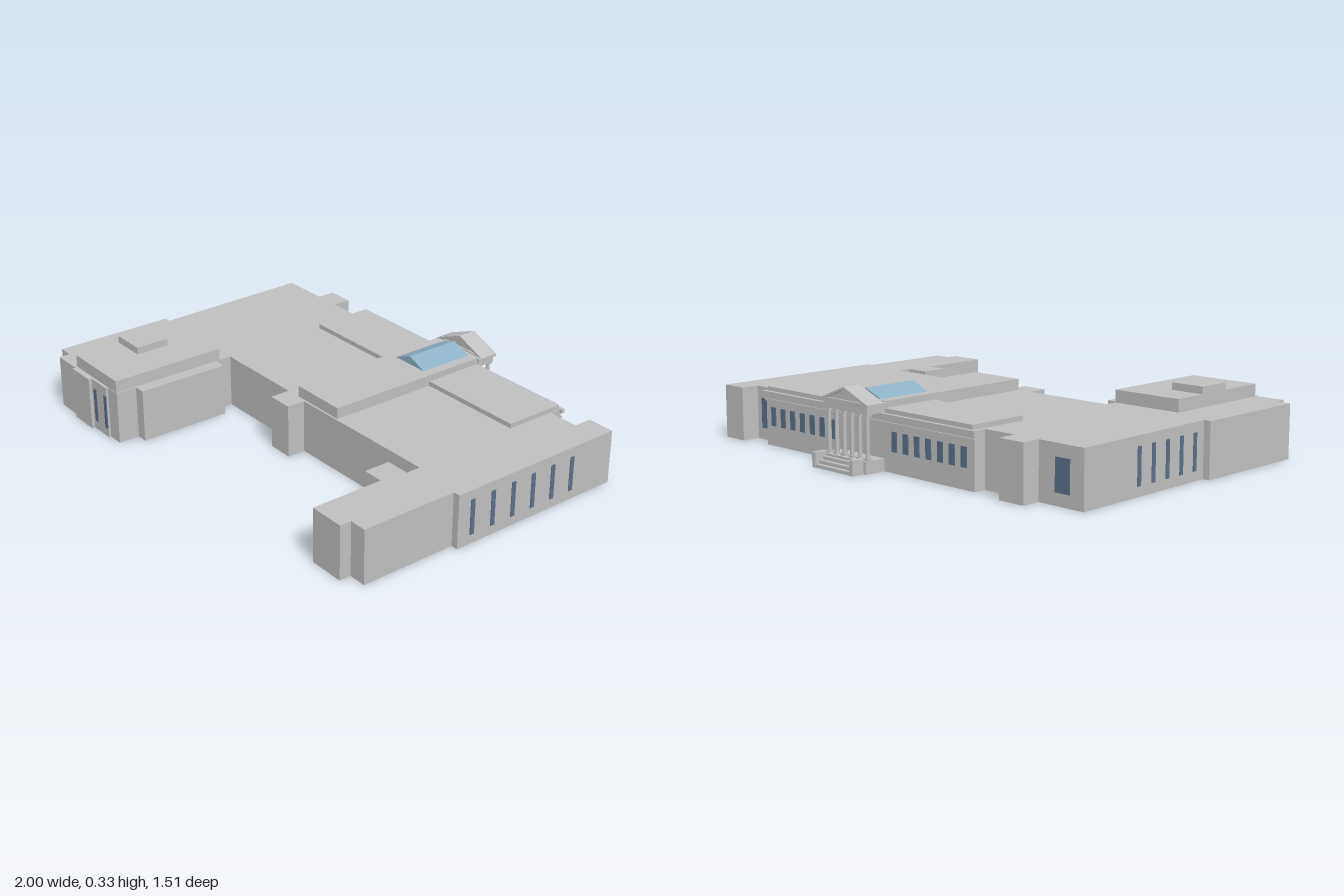
import * as THREE from 'three';
import { mergeGeometries } from 'three/addons/utils/BufferGeometryUtils.js';

export function createModel() {
  const model = new THREE.Group();
  model.name = 'building';
  const mat = (name, color) => {
    const m = new THREE.MeshStandardMaterial({ color, side: THREE.DoubleSide });
    m.name = name;
    return m;
  };
  const stone = mat('pale grey stone', 0xc0c0c0);
  const pane = mat('dark blue window', 0x5a7088);
  const glass = mat('skylight glass', 0x8fb2c6);

  const add = (name, geometry, material = stone, parent = model) => {
    const mesh = new THREE.Mesh(geometry, material);
    mesh.name = name;
    parent.add(mesh);
    return mesh;
  };
  const group = (name) => {
    const g = new THREE.Group();
    g.name = name;
    model.add(g);
    return g;
  };
  // Box given by its limits on each axis
  const box = (name, x0, x1, y0, y1, z0, z1, material, parent) => {
    const g = new THREE.BoxGeometry(x1 - x0, y1 - y0, z1 - z0);
    g.translate((x0 + x1) / 2, (y0 + y1) / 2, (z0 + z1) / 2);
    return add(name, g, material, parent);
  };
  // Walls and flat roof over an outline of (x, z) points, open underneath
  const shell = (name, outline, y0, y1) => {
    const pos = [];
    outline.forEach(([ax, az], i) => {
      const [bx, bz] = outline[(i + 1) % outline.length];
      pos.push(ax, y0, az, ax, y1, az, bx, y1, bz, ax, y0, az, bx, y1, bz, bx, y0, bz);
    });
    const walls = new THREE.BufferGeometry();
    walls.setAttribute('position', new THREE.Float32BufferAttribute(pos, 3));
    walls.computeVertexNormals();
    const shape = new THREE.Shape(outline.map(([x, z]) => new THREE.Vector2(x, -z)));
    const roof = new THREE.ShapeGeometry(shape).toNonIndexed();
    roof.deleteAttribute('uv');
    roof.rotateX(-Math.PI / 2).translate(0, y1, 0);
    return add(name, mergeGeometries([walls, roof]));
  };
  const rect = (x0, x1, z0, z1) => [[x0, z0], [x1, z0], [x1, z1], [x0, z1]];
  // Triangular prism along z
  const triangle = (Type, x0, x1, y0, y1) => {
    const t = new Type();
    t.moveTo(x0, y0);
    t.lineTo(x1, y0);
    t.lineTo((x0 + x1) / 2, y1);
    t.closePath();
    return t;
  };
  const prism = (shape, z0, z1) =>
    new THREE.ExtrudeGeometry(shape, { depth: z1 - z0, bevelEnabled: false }).translate(0, 0, z0);

  // Main body with its wings and projecting bays
  shell('mainBody', [
    [-0.985, -0.55], [-0.77, -0.55], [-0.77, -0.63], [-0.65, -0.63], [-0.65, -0.55],
    [-0.5, -0.55], [-0.5, -0.605], [0.745, -0.605], [0.745, -0.55], [0.88, -0.55],
    [0.88, -0.63], [1, -0.63], [1, 0.18], [0.97, 0.18], [0.97, 0.6], [0.895, 0.6],
    [0.895, 0.65], [0.74, 0.65], [0.74, 0.335], [0.65, 0.335], [0.65, 0.22],
    [0.755, 0.22], [0.755, 0.157], [0.05, 0.165], [0.05, 0.245], [-0.065, 0.245],
    [-0.065, 0.157], [-0.485, 0.157], [-0.485, 0.23], [-0.43, 0.23], [-0.43, 0.635],
    [-0.48, 0.635], [-0.48, 0.728], [-0.55, 0.728], [-0.55, 0.738], [-0.665, 0.738],
    [-0.665, 0.752], [-0.8, 0.752], [-0.8, 0.738], [-0.935, 0.738], [-0.935, 0.69],
    [-1, 0.69], [-1, 0.157], [-0.97, 0.157],
  ], 0, 0.23);

  // Raised roofs; the central ones stand on inner walls reaching the ground
  shell('centralHall', rect(0, 0.258, -0.6, 0.155), 0, 0.278);
  shell('sideHalls', rect(-0.485, 0.74, -0.6, -0.33), 0, 0.25);
  shell('wingUpperStorey', rect(-0.805, -0.485, 0.212, 0.726), 0.23, 0.283);
  shell('wingRoofBox', rect(-0.805, -0.652, 0.365, 0.517), 0.283, 0.314);

  // Cornice along the colonnaded facade
  box('corniceLower', -0.505, 0.75, 0.19, 0.2, -0.611, -0.6);
  box('corniceUpper', -0.51, 0.755, 0.215, 0.232, -0.617, -0.6);

  // Glazed ridge skylight
  add('skylight', prism(triangle(THREE.Shape, 0.04, 0.216, 0.279, 0.315), -0.585, -0.335), glass);

  // Portico: floor, columns, beam and pediment
  const portico = group('portico');
  box('porticoFloor', 0.0, 0.258, 0, 0.052, -0.7, -0.6, stone, portico);
  const columnCount = 6;
  for (let i = 0; i < columnCount; i++) {
    const x = 0.013 + (i * 0.231) / (columnCount - 1);
    const shaft = add('columnShaft', new THREE.CylinderGeometry(0.008, 0.0095, 0.165, 12), stone, portico);
    shaft.position.set(x, 0.1425, -0.677);
    box('columnBase', x - 0.012, x + 0.012, 0.052, 0.06, -0.689, -0.665, stone, portico);
    box('columnCapital', x - 0.012, x + 0.012, 0.225, 0.236, -0.689, -0.665, stone, portico);
  }
  box('beam', -0.002, 0.26, 0.235, 0.262, -0.692, -0.6, stone, portico);
  box('beamMoulding', -0.012, 0.268, 0.262, 0.274, -0.7, -0.6, stone, portico);
  const gable = triangle(THREE.Shape, -0.012, 0.268, 0.274, 0.331);
  gable.holes.push(triangle(THREE.Path, 0.025, 0.231, 0.278, 0.32));
  add('pedimentFrame', prism(gable, -0.7, -0.615), stone, portico);
  add('pedimentPanel', prism(triangle(THREE.Shape, 0.015, 0.241, 0.275, 0.323), -0.69, -0.625), stone, portico);

  // Entrance steps between low side walls
  const steps = group('entranceSteps');
  for (let i = 0; i < 3; i++) {
    box('step', 0.03, 0.24, 0, 0.014 * (i + 1), -0.752 + i * 0.018, -0.7, stone, steps);
  }
  for (const x of [0.015, 0.24]) box('stepSideWall', x, x + 0.02, 0, 0.062, -0.755, -0.695, stone, steps);

  // Windows as thin plates facing z or x
  const windows = group('windows');
  const windowZ = (x, z, w, y0, y1) => box('window', x - w / 2, x + w / 2, y0, y1, z - 0.003, z + 0.003, pane, windows);
  const windowX = (x, z, w, y0, y1) => box('window', x - 0.003, x + 0.003, y0, y1, z - w / 2, z + w / 2, pane, windows);
  for (let i = 0; i < 7; i++) {
    windowZ(-0.445 + i * 0.064, -0.605, 0.03, 0.085, 0.165);
    windowZ(0.313 + i * 0.064, -0.605, 0.03, 0.085, 0.165);
  }
  for (let i = 0; i < 6; i++) windowX(1, 0.11 - i * 0.104, 0.02, 0.04, 0.19);
  for (let i = 0; i < 5; i++) {
    const z = -0.24 + i * 0.085;
    windowX(-0.97 - (0.157 - z) * 0.0212, z, 0.02, 0.04, 0.19);
  }
  windowZ(-0.885, -0.55, 0.07, 0.05, 0.18);
  windowZ(0.825, -0.55, 0.05, 0.05, 0.18);
  for (const x of [-0.64, -0.561]) windowZ(x, 0.738, 0.02, 0.04, 0.19);

  return model;
}
